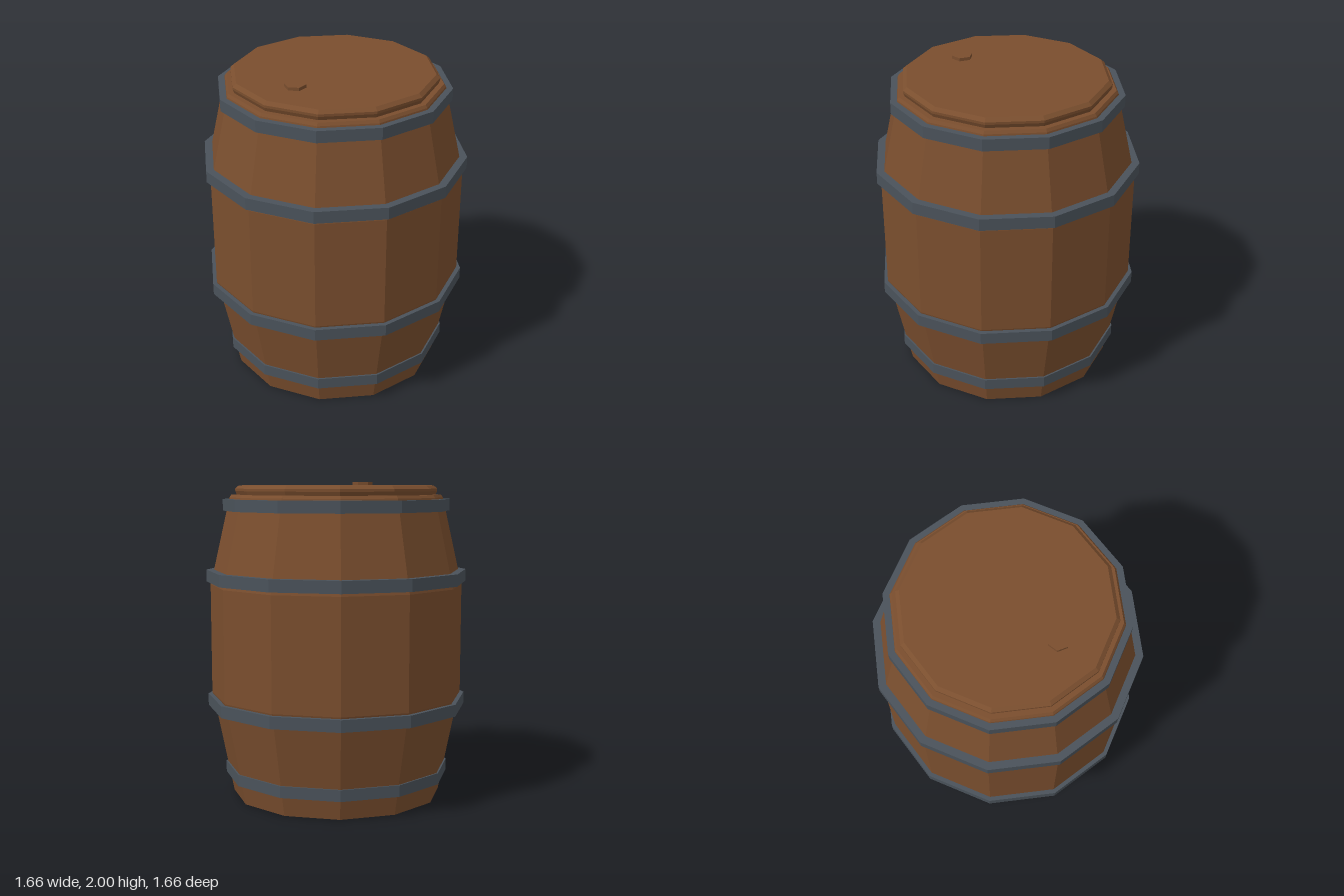
import * as THREE from 'three';

const SIDES = 12;
const wood = new THREE.MeshStandardMaterial({ color: 0x7a4e2e, flatShading: true });
const iron = new THREE.MeshStandardMaterial({ color: 0x4a525a, flatShading: true });

// Faceted solid turned from [radius, height] points, listed from bottom to top
function turned(name, points, material) {
  const profile = points.map(([r, y]) => new THREE.Vector2(r, y));
  const mesh = new THREE.Mesh(new THREE.LatheGeometry(profile, SIDES), material);
  mesh.name = name;
  return mesh;
}

// Hoop with a rectangular section, its inner wall sunk into the staves
function hoop(name, radius, bottom, top) {
  const inner = radius - 0.07;
  return turned(name, [
    [inner, bottom], [radius, bottom], [radius, top], [inner, top], [inner, bottom],
  ], iron);
}

export function createModel() {
  const barrel = new THREE.Group();
  barrel.name = 'barrel';

  // Staves: tapered ends around a straight middle
  barrel.add(turned('body', [
    [0, 0], [0.67, 0], [0.79, 0.6], [0.805, 0.655],
    [0.805, 1.355], [0.79, 1.41], [0.677, 1.905], [0.665, 1.922], [0, 1.922],
  ], wood));

  // Bevelled lid
  barrel.add(turned('lid', [
    [0, 1.92], [0.63, 1.92], [0.64, 1.945], [0.64, 1.96], [0.617, 1.98], [0, 1.98],
  ], wood));

  // Four iron hoops
  barrel.add(
    hoop('bottomHoop', 0.72, 0.125, 0.197),
    hoop('lowerHoop', 0.83, 0.57, 0.645),
    hoop('upperHoop', 0.83, 1.373, 1.448),
    hoop('topHoop', 0.72, 1.822, 1.895),
  );

  // Hexagonal bung in the lid
  const bung = new THREE.Mesh(new THREE.CylinderGeometry(0.065, 0.065, 0.03, 6), wood);
  bung.name = 'bung';
  bung.position.set(-0.315, 1.985, 0.18);
  barrel.add(bung);

  return barrel;
}
